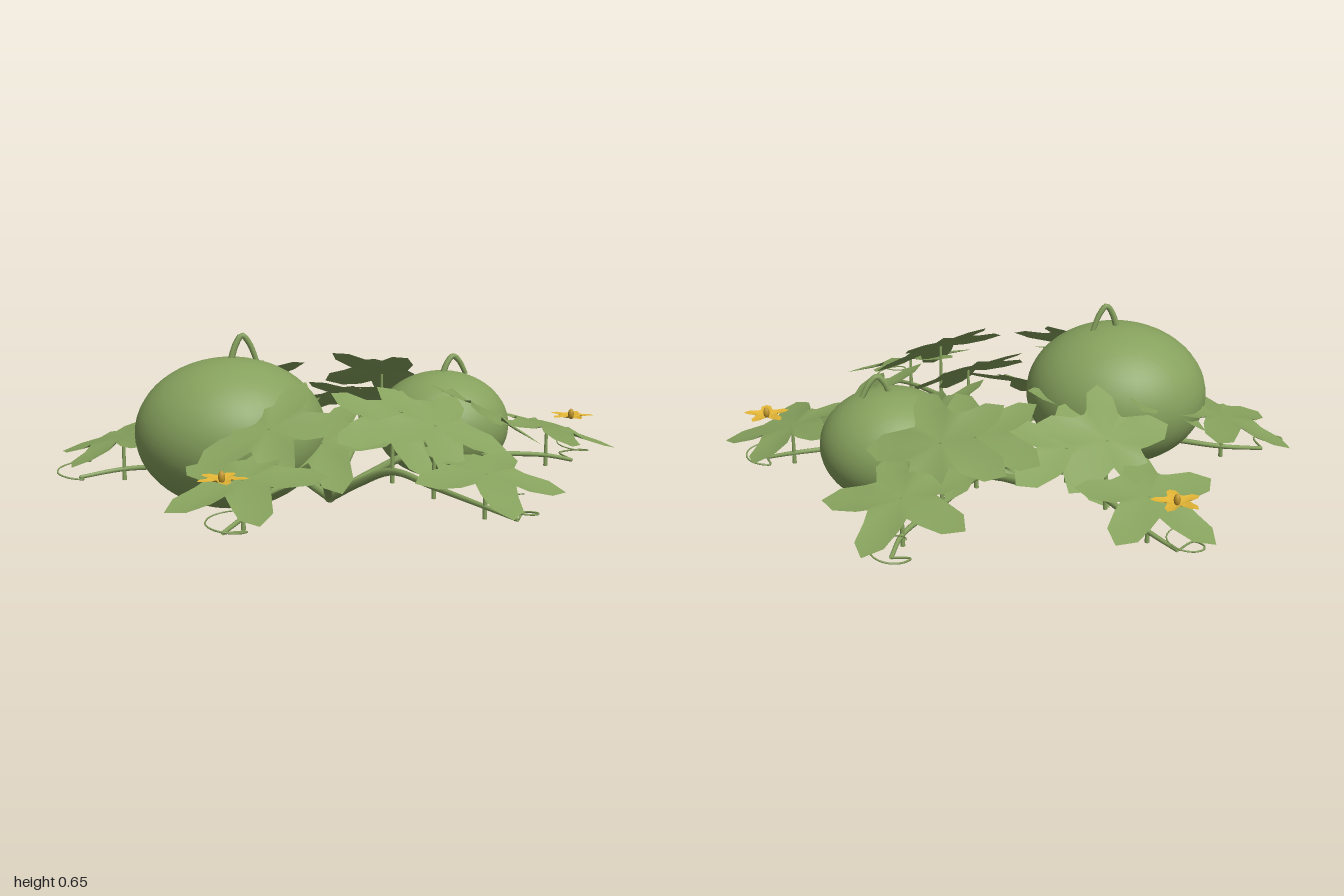
import * as THREE from 'three';

const V = (x, y, z) => new THREE.Vector3(x, y, z);
const UP = V(0, 1, 0);
const green = new THREE.MeshStandardMaterial({ color: 0x86a15d, side: THREE.DoubleSide });
green.name = 'plant green';
const yellow = new THREE.MeshStandardMaterial({ color: 0xe4b636, side: THREE.DoubleSide });
yellow.name = 'petal yellow';
const amber = new THREE.MeshStandardMaterial({ color: 0xc0962c });
amber.name = 'flower centre amber';

function add(parent, name, geometry, material) {
  const mesh = new THREE.Mesh(geometry, material);
  mesh.name = name;
  parent.add(mesh);
  return mesh;
}

// Tube whose radius shrinks evenly from start to end
function taperedTube(points, r0, r1, segments = 32, sides = 8) {
  const curve = new THREE.CatmullRomCurve3(points);
  const geo = new THREE.TubeGeometry(curve, segments, 1, sides);
  const pos = geo.attributes.position;
  const p = V(0, 0, 0);
  for (let i = 0; i <= segments; i++) {
    const c = curve.getPointAt(i / segments);
    const r = r0 + (r1 - r0) * i / segments;
    for (let j = 0; j <= sides; j++) {
      const k = i * (sides + 1) + j;
      p.fromBufferAttribute(pos, k).sub(c).multiplyScalar(r).add(c);
      pos.setXYZ(k, p.x, p.y, p.z);
    }
  }
  return geo;
}

// Lobed surface around the origin; each lobe is [angle in degrees, length]
function lobedGeometry(lobes, waist, width, height) {
  const pts = [0, 0, 0], index = [];
  const rad = Math.PI / 180;
  const put = (deg, r, lift = 0) => {
    pts.push(r * Math.cos(deg * rad), height(r) + lift, r * Math.sin(deg * rad));
    return pts.length / 3 - 1;
  };
  const n = lobes.length;
  const gaps = lobes.map(([a], i) => {
    const next = lobes[(i + 1) % n][0] + (i === n - 1 ? 360 : 0);
    return put((a + next) / 2, waist, 0.1 * waist);
  });
  lobes.forEach(([a, len], i) => {
    const before = gaps[(i + n - 1) % n], after = gaps[i];
    const a1 = put(a - width, len * 0.56), a2 = put(a + width, len * 0.56);
    const b1 = put(a - width * 0.54, len * 0.83), b2 = put(a + width * 0.54, len * 0.83);
    const m = put(a, len * 0.6, -0.03 * len), t = put(a, len);
    for (const [p, q, r] of [[0, before, a1], [0, a1, m], [m, a1, b1], [m, b1, t],
      [m, t, b2], [m, b2, a2], [0, m, a2], [0, a2, after]]) index.push(p, r, q);
  });
  const geo = new THREE.BufferGeometry();
  geo.setAttribute('position', new THREE.Float32BufferAttribute(pts, 3));
  geo.setIndex(index);
  geo.computeVertexNormals();
  return geo;
}

const leafGeo = lobedGeometry(
  [[-140, 0.24], [-75, 0.268], [0, 0.268], [75, 0.268], [140, 0.24]],
  0.115, 25, r => -0.2 * r * r);
const petalGeo = lobedGeometry(
  [-144, -72, 0, 72, 144].map(a => [a, 0.084]), 0.038, 25, r => 0.5 * r - 4 * r * r);

// Each vine: leaves as [x, z, y, tilt, lobe direction], tip position, optional flower, curl centre
const vines = [
  { leaves: [[-0.25, 0.08, 0.29, 0.5, 190], [-0.48, 0.13, 0.36, 0.5, 195], [-0.76, 0.12, 0.27, 0.27, 198]],
    tip: [-0.91, 0.17], curl: [-0.92, 0.19] },
  { leaves: [[-0.04, 0.29, 0.29, 0.5, 75], [-0.2, 0.51, 0.385, 0.6, 80], [-0.26, 0.74, 0.27, 0.3, 74]],
    tip: [-0.31, 0.85], curl: [-0.3, 0.87], flower: [-0.31, 0.85] },
  { leaves: [[0.2, 0.24, 0.35, 0.55, 55], [0.34, 0.41, 0.38, 0.57, 67], [0.5, 0.58, 0.26, 0.3, 72]],
    tip: [0.6, 0.66], curl: [0.6, 0.66] },
  { leaves: [[0.28, -0.05, 0.28, 0.5, 0], [0.51, -0.1, 0.35, 0.5, 5], [0.77, -0.17, 0.26, 0.25, 0]],
    tip: [0.87, -0.18], curl: [0.87, -0.21], flower: [0.86, -0.18] },
  { leaves: [[0.07, -0.34, 0.33, 0.5, -75], [0.15, -0.54, 0.39, 0.62, -73], [0.24, -0.74, 0.28, 0.3, -73]],
    tip: [0.25, -0.86], curl: [0.25, -0.88] },
  { leaves: [[-0.23, -0.25, 0.27, 0.5, -135], [-0.38, -0.42, 0.38, 0.6, -148], [-0.53, -0.6, 0.275, 0.3, -148]],
    tip: [-0.63, -0.68], curl: [-0.65, -0.69], flower: [-0.62, -0.68] },
];

function buildVine({ leaves, tip, curl, flower }) {
  const vine = new THREE.Group();
  vine.name = 'vine';
  const hub = V(-0.03, 0.02, -0.01);
  const heights = [0.18, 0.17, 0.15];
  const first = leaves[0];

  // Runner stem, rising from the root then trailing outwards
  add(vine, 'runner', taperedTube([hub,
    V((hub.x + first[0]) / 2, 0.11, (hub.z + first[1]) / 2),
    ...leaves.map(([x, z], i) => V(x, heights[i], z)),
    V(tip[0], 0.13, tip[1])], 0.018, 0.007), green);

  const out = V(tip[0] - hub.x, 0, tip[1] - hub.z).normalize();
  leaves.forEach(([x, z, y, tilt, yaw], i) => {
    // Upright leaf stalk
    const foot = heights[i] - 0.04;
    const stalk = add(vine, 'leafStalk', new THREE.CylinderGeometry(0.005, 0.008, y - foot, 8), green);
    stalk.position.set(x, (y + foot) / 2, z);

    // Five-lobed leaf, sloping away from the root
    const leaf = add(vine, 'leaf', leafGeo, green);
    leaf.position.set(x, y, z);
    const normal = out.clone().multiplyScalar(Math.sin(tilt)).setY(Math.cos(tilt));
    leaf.quaternion.setFromUnitVectors(UP, normal).multiply(
      new THREE.Quaternion().setFromAxisAngle(UP, -yaw * Math.PI / 180));
  });

  // Coiled tendril
  const start = Math.atan2(out.z, out.x) - 2;
  const coil = [];
  for (let i = 0; i <= 14; i++) {
    const a = start + i * 0.45, r = 0.065 - i * 0.0008;
    coil.push(V(curl[0] + r * Math.cos(a), 0.14 + i * 0.0045, curl[1] + r * Math.sin(a)));
  }
  add(vine, 'tendril', taperedTube([V(tip[0], 0.13, tip[1]), ...coil], 0.004, 0.002, 48, 5), green);

  // Star-shaped flower, hovering just over the last leaf
  if (flower) {
    const bloom = new THREE.Group();
    bloom.name = 'flower';
    bloom.position.set(flower[0], 0.288, flower[1]);
    add(bloom, 'petals', petalGeo, yellow);
    const centre = add(bloom, 'flowerCentre', new THREE.SphereGeometry(0.011, 12, 8), amber);
    centre.scale.y = 1.8;
    centre.position.y = 0.018;
    vine.add(bloom);
  }
  return vine;
}

function buildMelon(center, radii, dir, stemRise) {
  const melon = new THREE.Group();
  melon.name = 'melon';
  melon.position.copy(center);
  add(melon, 'rind', new THREE.SphereGeometry(1, 40, 28), green).scale.copy(radii);
  // Arched stem on top
  const h = radii.y;
  add(melon, 'melonStem', taperedTube(
    [[0, -0.3], [0.22, 0.6], [0.45, 1], [0.7, 0.65], [1, -0.3]].map(
      ([t, y]) => V(dir[0] * t, h + y * stemRise, dir[1] * t)), 0.012, 0.009, 20), green);
  return melon;
}

export function createModel() {
  const plant = new THREE.Group();
  plant.name = 'melonPlant';
  // Root crown
  const root = add(plant, 'rootCrown', new THREE.SphereGeometry(0.022, 12, 8), green);
  root.position.set(-0.03, 0.022, -0.01);
  vines.forEach(v => plant.add(buildVine(v)));
  plant.add(buildMelon(V(-0.362, 0.308, 0.21), V(0.333, 0.262, 0.3), [0.09, -0.04], 0.075));
  plant.add(buildMelon(V(0.382, 0.248, -0.26), V(0.253, 0.203, 0.232), [0.09, -0.045], 0.055));
  return plant;
}
